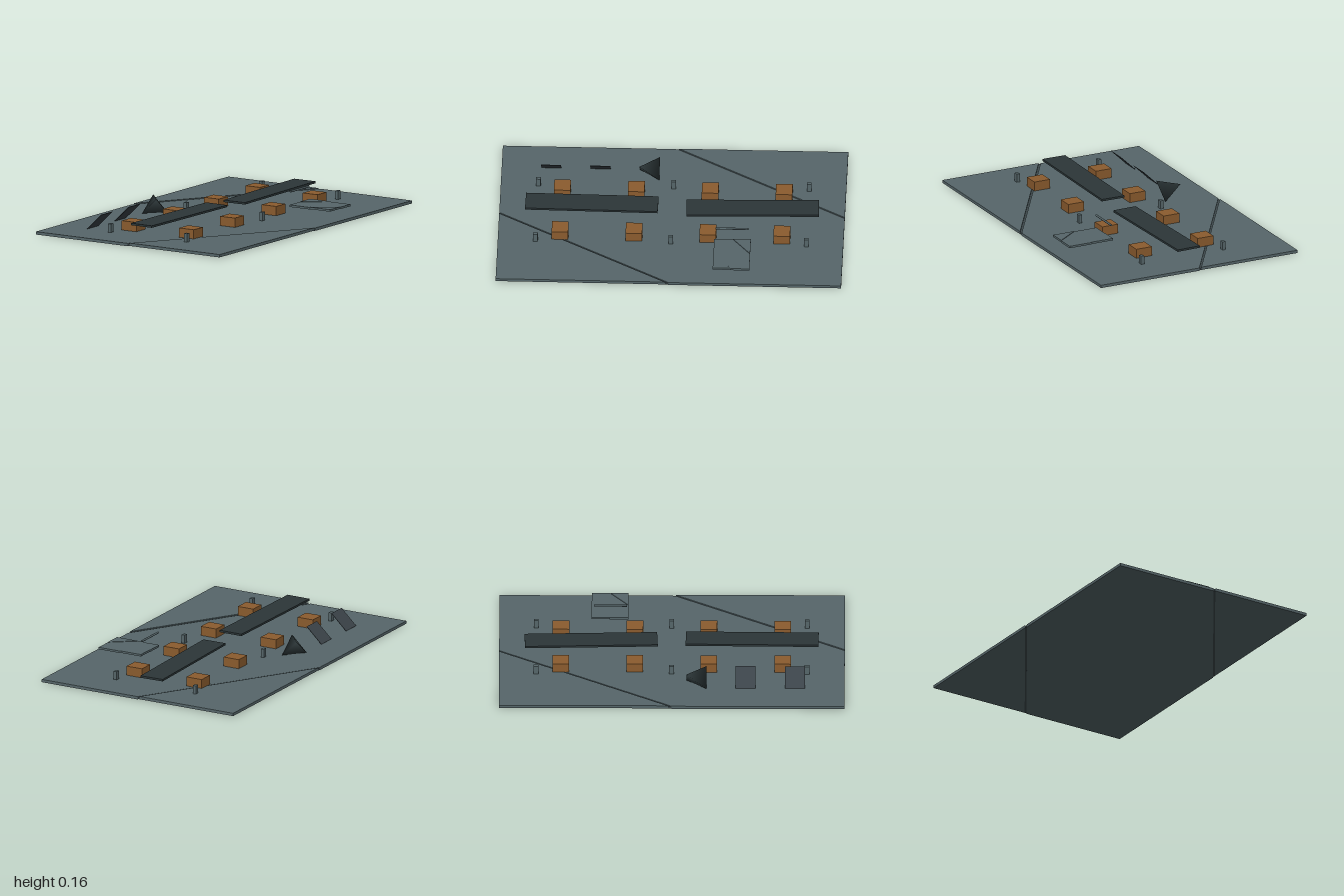
import * as THREE from 'three';

const paint = (color) => new THREE.MeshStandardMaterial({ color, side: THREE.DoubleSide });
const slate = paint(0x56666a);
const seamDark = paint(0x3c474a);
const charcoal = paint(0x2c3638);
const wood = paint(0x8b5c2e);
const panelGrey = paint(0x3b4349);

function add(parent, name, geometry, material, x = 0, y = 0, z = 0) {
  const mesh = new THREE.Mesh(geometry, material);
  mesh.name = name;
  mesh.position.set(x, y, z);
  parent.add(mesh);
  return mesh;
}

// Flat slab from an outline of [x, z] points
function slab(points, y0, y1) {
  const shape = new THREE.Shape(points.map(([x, z]) => new THREE.Vector2(x, -z)));
  const geometry = new THREE.ExtrudeGeometry(shape, { depth: y1 - y0, bevelEnabled: false });
  return geometry.rotateX(-Math.PI / 2).translate(0, y0, 0);
}

// Rectangular plate with two opposite corners set off by diagonal seams
function seamedPlate(name, hx, hz, thickness, step) {
  const plate = new THREE.Group();
  plate.name = name;
  const top = thickness - step;
  const middle = [[0, -hz], [hx, -hz], [hx, 0], [0, hz], [-hx, hz], [-hx, 0]];
  add(plate, 'plateMiddle', slab(middle, 0, top), slate);
  for (const s of [-1, 1]) {
    const k = 0.02;
    const corner = [[s * hx, s * hz], [s * hx, s * hz * k], [s * hx * k, s * hz]];
    const seam = [[0, s * hz], [s * hx * k, s * hz], [s * hx, s * hz * k], [s * hx, 0]];
    add(plate, 'plateCorner', slab(corner, step, thickness), slate);
    add(plate, 'plateSeam', slab(seam, step, top - step), seamDark);
  }
  return plate;
}

// Smooth tetrahedron filling alternate corners of a box
function tetrahedron(w, h, d) {
  const corners = [[1, -1, -1], [-1, 1, -1], [-1, -1, 1], [1, 1, 1]];
  const geometry = new THREE.BufferGeometry();
  geometry.setAttribute('position', new THREE.Float32BufferAttribute(corners.flat(), 3));
  geometry.setIndex([0, 2, 1, 0, 1, 3, 1, 2, 3, 2, 0, 3]);
  geometry.scale(w / 2, h / 2, d / 2);
  geometry.computeVertexNormals();
  return geometry;
}

export function createModel() {
  const model = new THREE.Group();
  model.name = 'boardModel';

  // Base plate
  model.add(seamedPlate('basePlate', 0.64, 1, 0.02, 0.003));

  // Two long planks floating over the centre line
  const plank = new THREE.BoxGeometry(0.146, 0.012, 0.768);
  add(model, 'backPlank', plank, charcoal, 0.003, 0.086, -0.468).rotation.y = 0.03;
  add(model, 'frontPlank', plank, charcoal, -0.002, 0.097, 0.464).rotation.y = -0.013;

  // Two rows of wooden blocks and small posts
  const block = new THREE.BoxGeometry(0.102, 0.055, 0.096);
  const post = new THREE.BoxGeometry(0.02, 0.05, 0.027);
  for (const s of [-1, 1]) {
    for (const z of [-0.643, -0.215, 0.213, 0.641]) {
      add(model, 'woodenBlock', block, wood, s * 0.2, 0.0465, z);
    }
    for (const z of [-0.786, -0.002, 0.782]) {
      add(model, 'post', post, slate, s * 0.265, 0.045, z);
    }
  }

  // Pyramid and two slanted panels along the right side
  add(model, 'pyramid', tetrahedron(0.098, 0.094, 0.116), charcoal, -0.388, 0.064, 0.142);
  const panel = new THREE.BoxGeometry(0.134, 0.003, 0.116);
  for (const z of [0.427, 0.712]) {
    add(model, 'slantedPanel', panel, panelGrey, -0.388, 0.065, z).rotation.z = 0.76;
  }

  // Small raised plate with a thin rod above it
  const tray = seamedPlate('raisedPlate', 0.141, 0.106, 0.014, 0.002);
  tray.position.set(0.427, 0.061, -0.36);
  model.add(tray);
  const rod = new THREE.CylinderGeometry(0.006, 0.006, 0.19, 12).rotateX(Math.PI / 2);
  add(model, 'rod', rod, slate, 0.289, 0.151, -0.356);

  return model;
}
